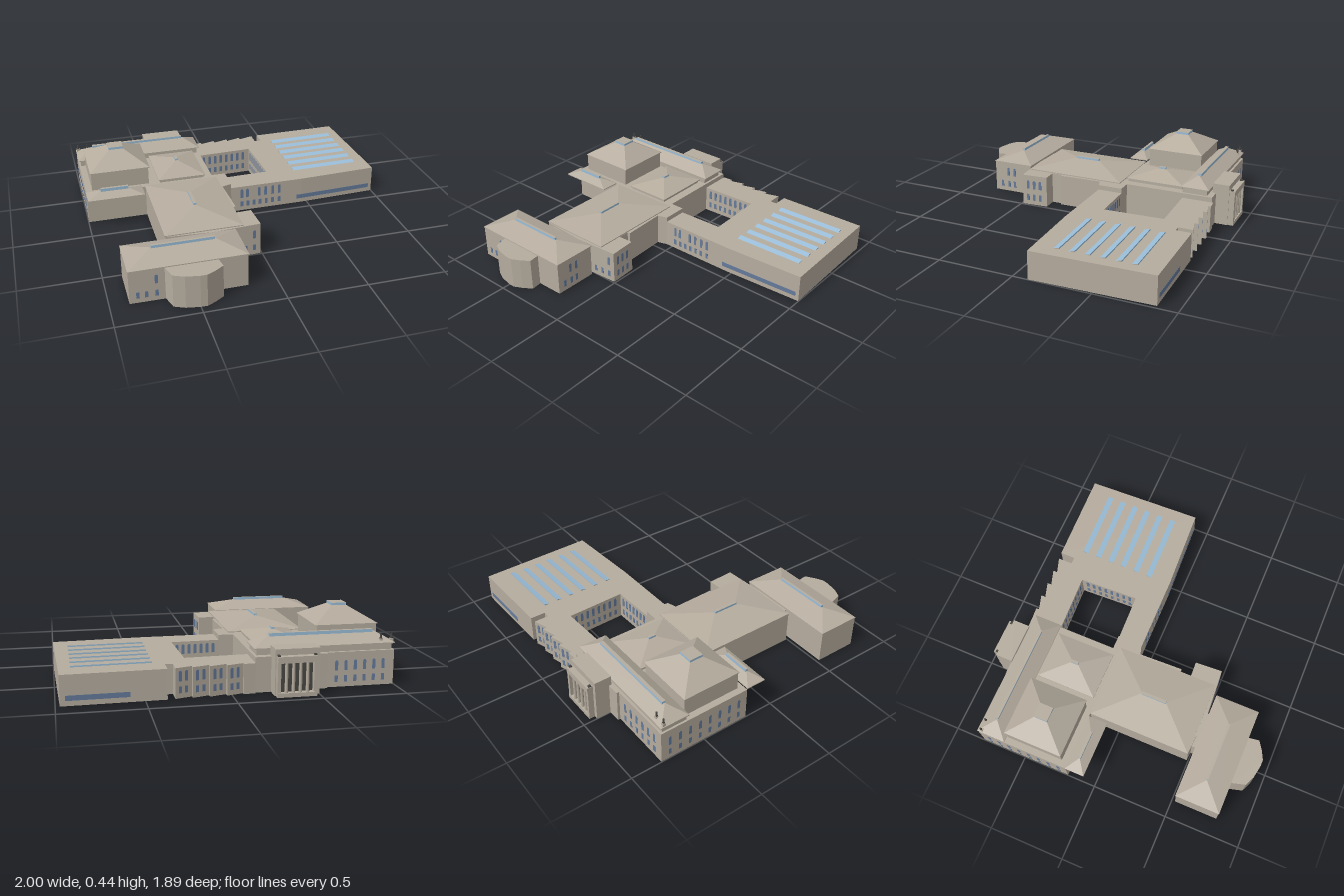
import * as THREE from 'three';

const mat = (name, color, side = THREE.FrontSide) =>
  Object.assign(new THREE.MeshStandardMaterial({ color, side }), { name });
const stone = mat('stone', 0xb5ac9e, THREE.DoubleSide);
const windowBlue = mat('windowBlue', 0x647a9b);
const skylight = mat('skylight', 0x9abdd8);
const dark = mat('darkTrim', 0x4a4743);

export function createModel() {
  const model = new THREE.Group();
  model.name = 'museumComplex';

  const add = (name, geometry, material = stone, parent = model) => {
    const m = new THREE.Mesh(geometry, material);
    m.name = name;
    parent.add(m);
    return m;
  };
  // Box given by its extents
  const box = (name, x0, x1, y0, y1, z0, z1, material = stone) => {
    const g = new THREE.BoxGeometry(x1 - x0, y1 - y0, z1 - z0);
    g.translate((x0 + x1) / 2, (y0 + y1) / 2, (z0 + z1) / 2);
    return add(name, g, material);
  };
  // Hollow block over an [x, z] outline (clockwise from above, rear first): walls, flat roof, no floor
  const block = (name, pts, h, lastWall = true) => {
    const verts = [];
    pts.forEach(([ax, az], i) => {
      if (i === pts.length - 1 && !lastWall) return;
      const [bx, bz] = pts[(i + 1) % pts.length];
      verts.push(ax, 0, az, ax, h, az, bx, h, bz, ax, 0, az, bx, h, bz, bx, 0, bz);
    });
    const walls = new THREE.BufferGeometry();
    walls.setAttribute('position', new THREE.Float32BufferAttribute(verts, 3));
    walls.computeVertexNormals();
    add(name + 'Walls', walls);
    const roof = new THREE.ShapeGeometry(new THREE.Shape(pts.map(([x, z]) => new THREE.Vector2(x, -z))));
    roof.rotateX(-Math.PI / 2).translate(0, h, 0);
    add(name + 'FlatRoof', roof);
  };
  // Hip roof: a box whose upper rectangle is drawn in to the ridge
  const hip = (name, [x0, x1, z0, z1], y0, [a0, a1, b0, b1], y1) => {
    box(name + 'Eave', x0, x1, y0 - 0.006, y0, z0, z1);
    const g = new THREE.BoxGeometry(2, 2, 2);
    const p = g.attributes.position;
    for (let i = 0; i < p.count; i++) {
      const r = p.getX(i) > 0, f = p.getZ(i) > 0;
      if (p.getY(i) > 0) p.setXYZ(i, r ? a1 : a0, y1, f ? b1 : b0);
      else p.setXYZ(i, r ? x1 : x0, y0, f ? z1 : z0);
    }
    g.computeVertexNormals();
    add(name, g);
  };
  // Glazed ridge lantern with a solid lid
  const lantern = (name, x0, x1, y0, y1, z0, z1) =>
    box(name, x0, x1, y0, y1, z0, z1, [skylight, skylight, stone, stone, skylight, skylight]);

  // Windows on the wall from a to b (left to right seen from outside), at distances ds
  const windows = (name, a, b, ds, y0, y1, arched = false, w = 0.019) => {
    const dx = b[0] - a[0], dz = b[1] - a[1], len = Math.hypot(dx, dz);
    const s = new THREE.Shape();
    s.moveTo(-w / 2, 0);
    s.lineTo(w / 2, 0);
    if (arched) s.absarc(0, y1 - y0 - w / 2, w / 2, 0, Math.PI, false);
    else { s.lineTo(w / 2, y1 - y0); s.lineTo(-w / 2, y1 - y0); }
    const g = new THREE.ExtrudeGeometry(s, { depth: 0.003, bevelEnabled: false, curveSegments: 6 });
    g.translate(0, 0, -0.0015);
    const group = new THREE.Group();
    group.name = name;
    for (const d of ds) {
      const m = add('window', g, windowBlue, group);
      m.position.set(a[0] + dx * d / len, y0, a[1] + dz * d / len);
      m.rotation.y = Math.atan2(-dz, dx);
    }
    model.add(group);
  };
  const twoRows = (name, a, b, lower, upper = lower) => {
    windows(name + 'Lower', a, b, lower, 0.03, 0.07);
    windows(name + 'Upper', a, b, upper, 0.1, 0.162, true);
  };
  const spread = (n, from, to) => Array.from({ length: n }, (_, i) => from + (to - from) * i / (n - 1));

  // Old main block, link, long hall and east annexe
  block('main', [[-0.997, -0.799], [-0.58, -0.799], [-0.58, -0.815], [-0.14, -0.825], [-0.14, -0.235],
    [-0.045, -0.235], [-0.045, -0.07], [-0.11, -0.05], [-0.1, 0.24], [-0.12, 0.24], [-0.12, 0.315],
    [-0.02, 0.31], [-0.01, 0.49], [-0.31, 0.51], [-0.605, 0.49], [-0.605, -0.19], [-0.997, -0.19]], 0.212);
  box('rearAttic', -0.985, -0.155, 0.213, 0.25, -0.785, -0.62);
  hip('rearRoof', [-1, -0.14, -0.8, -0.61], 0.256, [-0.9, -0.24, -0.705, -0.695], 0.31);
  lantern('rearLantern', -0.89, -0.25, 0.3, 0.323, -0.715, -0.692);
  box('towerWalls', -0.955, -0.575, 0.213, 0.33, -0.61, -0.23);
  hip('towerRoof', [-0.96, -0.565, -0.615, -0.225], 0.336, [-0.81, -0.715, -0.465, -0.375], 0.425);
  lantern('towerLantern', -0.81, -0.715, 0.424, 0.44, -0.465, -0.375);
  box('centreAttic', -0.5, -0.2, 0.213, 0.23, -0.6, -0.22);
  hip('centreRoof', [-0.51, -0.19, -0.61, -0.21], 0.236, [-0.352, -0.348, -0.43, -0.39], 0.285);
  lantern('centreLantern', -0.36, -0.34, 0.278, 0.295, -0.435, -0.385);
  hip('westRoof', [-1, -0.63, -0.19, -0.06], 0.224, [-0.91, -0.73, -0.126, -0.122], 0.258);
  lantern('westLantern', -0.91, -0.73, 0.25, 0.274, -0.133, -0.115);
  hip('hallRoof', [-0.61, -0.12, -0.19, 0.49], 0.22, [-0.367, -0.363, 0.07, 0.24], 0.265);
  lantern('hallLantern', -0.375, -0.355, 0.257, 0.277, 0.07, 0.24);

  // Roof figures at the rear corner
  for (const x of [-0.985, -0.92]) {
    box('figurePlinth', x - 0.01, x + 0.01, 0.255, 0.277, -0.784, -0.764);
    const g = new THREE.CylinderGeometry(0.005, 0.008, 0.03, 6);
    add('roofFigure', g, dark).position.set(x, 0.292, -0.774);
  }

  // Rear portico with columns before a dark recess
  box('porticoBlock', -0.5, -0.235, 0, 0.275, -0.91, -0.8);
  box('porticoBase', -0.475, -0.24, 0, 0.025, -0.948, -0.91);
  box('porticoEntablature', -0.475, -0.24, 0.2, 0.238, -0.948, -0.91);
  box('porticoRecess', -0.46, -0.255, 0.025, 0.2, -0.915, -0.909, dark);
  for (const x of [-0.465, -0.25]) {
    box('porticoPier', x - 0.01, x + 0.01, 0.025, 0.2, -0.946, -0.91);
    box('porticoFinial', x - 0.008, x + 0.008, 0.238, 0.246, -0.935, -0.918, dark);
  }
  for (const x of spread(4, -0.42, -0.295)) {
    add('porticoColumn', new THREE.CylinderGeometry(0.009, 0.01, 0.175, 10)).position.set(x, 0.1125, -0.933);
  }

  // Front pavilion with its rounded bay, and the neck joining it to the hall
  block('pavilion', [[-0.885, 0.522], [-0.182, 0.522], [-0.182, 0.808], [-0.36, 0.81], [-0.35, 0.88],
    [-0.405, 0.917], [-0.46, 0.945], [-0.5, 0.945], [-0.585, 0.93], [-0.65, 0.9], [-0.675, 0.81],
    [-0.885, 0.808]], 0.21);
  hip('pavilionRoof', [-0.887, -0.178, 0.518, 0.812], 0.217, [-0.73, -0.34, 0.663, 0.667], 0.266);
  lantern('pavilionLantern', -0.725, -0.345, 0.257, 0.281, 0.657, 0.673);
  block('neck', [[-0.55, 0.494], [-0.31, 0.51], [-0.31, 0.522], [-0.55, 0.522]], 0.2);

  // New wing around the courtyard, with a saw-toothed rear wall, open to the main block
  const wing = [[-0.14, -0.835], [-0.07, -0.84], [-0.07, -0.82], [0.03, -0.85], [0.03, -0.82], [0.13, -0.85],
    [0.13, -0.822], [0.23, -0.853], [0.23, -0.825], [0.33, -0.857], [0.33, -0.76], [0.375, -0.76],
    [0.375, -0.86], [0.975, -0.873], [0.998, -0.1], [0.46, -0.073], [-0.045, -0.07], [-0.045, -0.235],
    [0.26, -0.245], [0.245, -0.64], [-0.14, -0.625]];
  block('wing', wing, 0.18, false);

  // Skylights: low wedges sloping to the front, with solid ends
  for (const z of [-0.705, -0.61, -0.515, -0.422, -0.325, -0.228]) {
    const s = new THREE.Shape([[0, 0], [0.036, 0], [0.036, 0.009]].map(([x, y]) => new THREE.Vector2(x, y)));
    const g = new THREE.ExtrudeGeometry(s, { depth: 0.465, bevelEnabled: false });
    g.rotateY(Math.PI / 2);
    const m = add('roofSkylight', g, [stone, skylight]);
    m.position.set(0.445, 0.181, z + 0.02);
    m.rotation.y = 0.025;
  }

  // Wing windows
  const front = [-0.045, -0.07], bend = [0.46, -0.073], corner = [0.998, -0.1];
  windows('wingFrontLower', front, bend, [0.075, 0.118, 0.162, 0.205, 0.25, 0.295, 0.343], 0.03, 0.068);
  windows('wingFrontUpper', front, bend, [0.075, 0.114, 0.198, 0.244, 0.295, 0.343], 0.095, 0.16, true);
  windows('frontBandWindow', bend, corner, [0.25], 0.03, 0.06, false, 0.53);
  windows('frontBandEnd', [0.425, -0.073], bend, [0.018], 0.03, 0.06, false, 0.036);
  windows('rearBandWindow', [0.975, -0.873], [0.375, -0.86], [0.21], 0.03, 0.06, false, 0.36);
  for (let i = 9; i >= 3; i -= 2) twoRows('sawtooth' + i, wing[i], wing[i - 1], [0.03, 0.07]);

  // Courtyard windows
  twoRows('courtNorth', [-0.14, -0.625], [0.245, -0.64], spread(8, 0.04, 0.34));
  twoRows('courtSouth', [0.26, -0.245], [-0.045, -0.235], spread(7, 0.035, 0.27));
  twoRows('courtEast', [0.245, -0.64], [0.26, -0.245], spread(8, 0.04, 0.35));

  // Main block windows
  twoRows('rear', [-0.58, -0.799], [-0.997, -0.799], spread(6, 0.06, 0.35));
  twoRows('west', [-0.997, -0.799], [-0.997, -0.19], spread(8, 0.06, 0.55));

  // Annexe and pavilion windows
  windows('annexeEastLower', [-0.01, 0.49], [-0.02, 0.31], [0.04, 0.085, 0.13], 0.03, 0.075);
  windows('annexeEastUpper', [-0.01, 0.49], [-0.02, 0.31], [0.04, 0.085, 0.13], 0.115, 0.175, true);
  windows('annexeFrontLower', [-0.31, 0.51], [-0.01, 0.49], [0.148, 0.203, 0.26], 0.03, 0.07);
  windows('annexeFrontUpper', [-0.31, 0.51], [-0.01, 0.49], [0.26], 0.115, 0.172, true);
  windows('pavilionEastLower', [-0.182, 0.808], [-0.182, 0.522], [0.053, 0.108, 0.153], 0.03, 0.075);
  windows('pavilionEastUpper', [-0.182, 0.808], [-0.182, 0.522], [0.103, 0.153], 0.115, 0.175, true);
  windows('pavilionFrontLower', [-0.885, 0.808], [-0.675, 0.81], [0.05, 0.1, 0.16], 0.03, 0.07);
  windows('pavilionFrontUpper', [-0.885, 0.808], [-0.675, 0.81], [0.16], 0.115, 0.172, true);

  return model;
}
